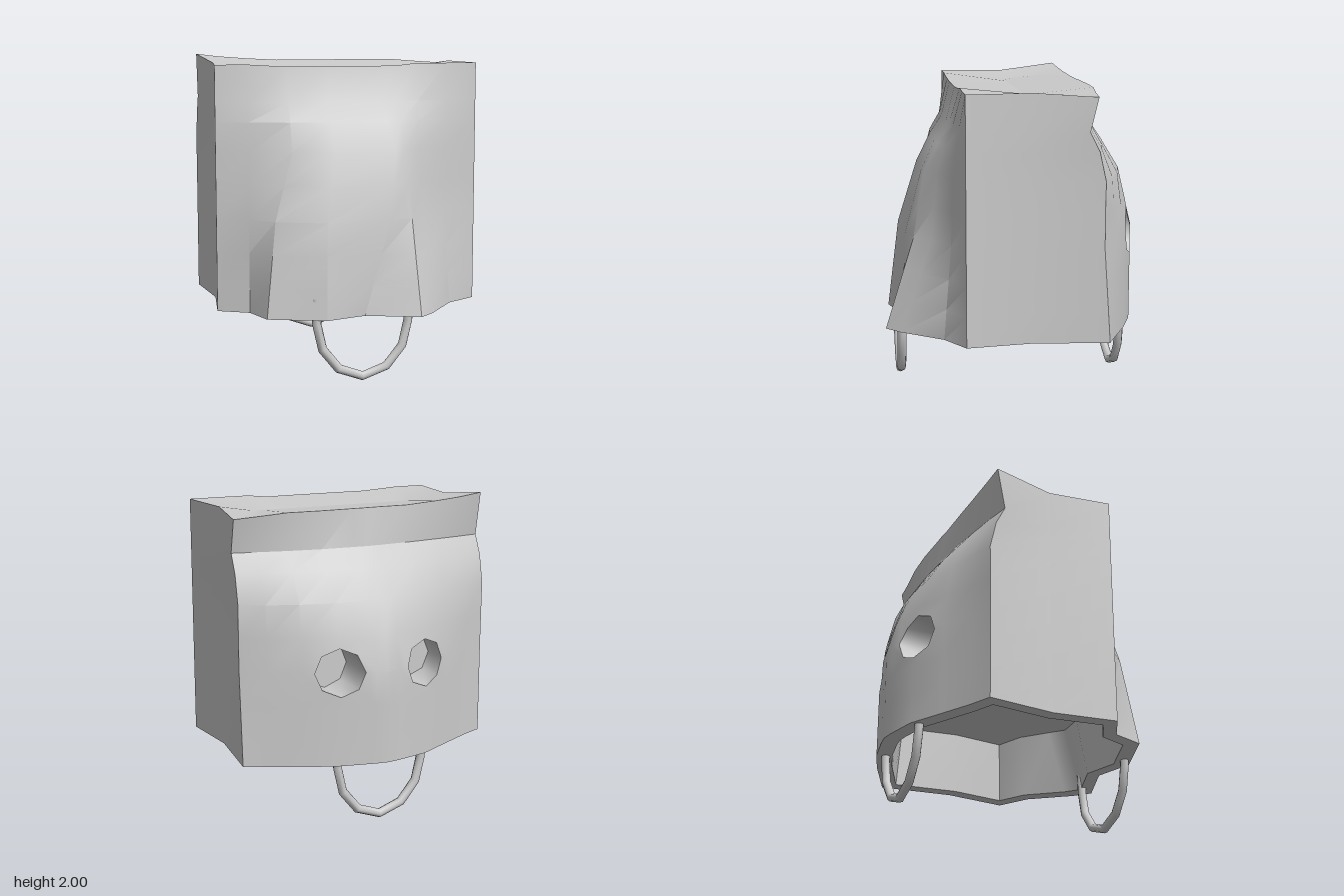
import * as THREE from 'three';
import { toCreasedNormals } from 'three/addons/utils/BufferGeometryUtils.js';

const V = (x, y, z) => new THREE.Vector3(x, y, z);

// Cross-section keys of the front panel: height, x positions, z depths
const FRONT = [
  { y: 0.41, x: [-.85, -.66, -.59, -.24, .02, .35, .45, .65, .85], z: [.36, .46, .665, .79, .71, .83, .74, .48, .36] },
  { y: 1.0, x: [-.85, -.66, -.52, -.22, .19, .34, .45, .62, .85], z: [.36, .45, .59, .715, .69, .645, .54, .43, .36] },
  { y: 1.42, x: [-.85, -.64, -.4, -.15, .25, .31, .42, .62, .85], z: [.36, .42, .53, .59, .585, .57, .5, .42, .36] },
  { y: 1.6, x: [-.85, -.65, -.4, -.15, .22, .31, .44, .65, .85], z: [.36, .41, .48, .5, .5, .485, .45, .4, .36] },
  { y: 1.72, x: [-.85, -.65, -.4, -.15, .2, .31, .45, .65, .85], z: [.36, .39, .41, .42, .42, .41, .4, .38, .36] },
  { y: 1.955, x: [-.85, -.65, -.4, -.15, .2, .31, .45, .65, .85], z: [.36, .36, .36, .365, .365, .355, .355, .36, .36] },
];
// Back panel: shared columns, depth per height
const BACK_X = [.85, .7, .51, .295, .08, 0, -.08, -.295, -.51, -.7, -.85];
const BACK = [
  { y: 0.41, z: [.53, .6, .69, .77, .815, .825, .815, .765, .65, .55, .485] },
  { y: 1.05, z: [.485, .58, .68, .77, .82, .835, .82, .76, .65, .54, .485] },
  { y: 1.42, z: [.49, .56, .63, .68, .7, .7, .7, .68, .6, .54, .49] },
  { y: 1.6, z: [.45, .49, .53, .57, .585, .59, .585, .57, .52, .48, .45] },
  { y: 1.72, z: [.39, .42, .46, .49, .5, .505, .5, .48, .45, .42, .39] },
  { y: 1.955, z: [.44, .45, .47, .48, .475, .475, .47, .47, .46, .45, .44] },
];
const HEIGHTS = [0.41, 0.6, 0.79, 1.0, 1.21, 1.42, 1.6, 1.72, 1.955];

// Linear blend between keyed cross-sections
function sample(keys, field, y) {
  let k = 0;
  while (k < keys.length - 2 && y > keys[k + 1].y) k++;
  const a = keys[k], b = keys[k + 1], t = (y - a.y) / (b.y - a.y);
  return a[field].map((v, i) => THREE.MathUtils.lerp(v, b[field][i], t));
}

// One loop round the bag: front, left fold, back, right fold
function ring(y) {
  const fx = sample(FRONT, 'x', y), fz = sample(FRONT, 'z', y), bz = sample(BACK, 'z', y);
  return [
    ...fx.map((x, i) => V(x, y, fz[i])), V(0.8, y, -0.05),
    ...BACK_X.map((x, i) => V(x, y, -bz[i])), V(-0.8, y, -0.05),
  ];
}

// Collects triangles and turns them into a creased geometry
function surface() {
  const pos = [];
  const tri = (a, b, c) => {
    const area = b.clone().sub(a).cross(c.clone().sub(a)).length();
    if (area > 1e-7) for (const p of [a, b, c]) pos.push(p.x, p.y, p.z);
  };
  const quad = (a, b, c, d) => { tri(a, b, c); tri(a, c, d); };
  const strip = (low, high, skip = () => false) => low.forEach((p, i) => {
    const n = (i + 1) % low.length;
    if (!skip(i)) quad(p, low[n], high[n], high[i]);
  });
  const mesh = (name, material, crease) => {
    const g = new THREE.BufferGeometry();
    g.setAttribute('position', new THREE.Float32BufferAttribute(pos, 3));
    const m = new THREE.Mesh(toCreasedNormals(g, crease), material);
    m.name = name;
    return m;
  };
  return { strip, mesh };
}

export function createModel() {
  const group = new THREE.Group();
  group.name = 'paperBagMask';
  const paper = new THREE.MeshStandardMaterial({ color: 0xcccccc });
  const cord = new THREE.MeshStandardMaterial({ color: 0xcccccc, side: THREE.DoubleSide });

  const rows = HEIGHTS.map(ring);
  const top = rows[rows.length - 1];
  // Uneven top edge: sagging front, one rear corner low and the other lifted
  for (let i = 2; i <= 5; i++) top[i].y = 1.94;
  [1.93, 1.94].forEach((y, i) => { top[10 + i].y = y; });
  [1.967, 1.982, 2].forEach((y, i) => { top[18 + i].y = y; });

  // Outer paper with eye openings, closed by a top that dips to a centre crease
  const bag = surface();
  const eyeCols = [12, 16];
  for (let j = 0; j < rows.length - 1; j++) {
    bag.strip(rows[j], rows[j + 1], i => (j === 2 || j === 3) && eyeCols.some(c => i === c || i === c + 1));
  }
  bag.strip(top, top.map(p => V(THREE.MathUtils.clamp(p.x, -0.57, 0.57), 1.915, -0.045)));

  // Eye openings: eight-sided sockets set into the back panel
  const border = [[0, 0], [1, 0], [2, 0], [2, 1], [2, 2], [1, 2], [0, 2], [0, 1]];
  const sockets = surface();
  for (const c of eyeCols) {
    const mid = rows[3][c + 1];
    const outer = border.map(([i, j]) => rows[2 + j][c + i]);
    const hole = outer.map(p => mid.clone().lerp(p, 0.15 / Math.hypot(p.x - mid.x, p.y - mid.y)));
    const floor = hole.map(p => V(p.x, p.y, mid.z + 0.25));
    bag.strip(outer, hole);
    sockets.strip(hole, floor);
    sockets.strip(floor, floor.map(() => V(mid.x, mid.y, mid.z + 0.25)));
  }
  group.add(bag.mesh('bag', paper, 0.45), sockets.mesh('eyeSockets', paper, 1));

  // Thick lower rim, inner wall and inner ceiling
  const inset = (r, y, sx, sz) => r.map(p => V(p.x * sx, y, p.z * sz));
  const rim = inset(rows[0], 0.41, 0.89, 0.875), ceiling = inset(rows[2], 0.83, 0.885, 0.86);
  const inside = surface();
  inside.strip(rim, rows[0]);
  inside.strip(ceiling, rim);
  inside.strip(ceiling.map(() => V(0, 0.83, 0)), ceiling);
  group.add(inside.mesh('innerLining', paper, 0.8));

  // Looped cord handles, their ends buried in the rim
  const half = [[-.3, .54], [-.295, .41], [-.265, .235], [-.15, .085], [0, .032]];
  const loop = [...half, ...half.slice(0, -1).reverse().map(([x, y]) => [-x, y])];
  for (const [name, z] of [['frontHandle', 0.725], ['backHandle', -0.708]]) {
    const path = new THREE.CatmullRomCurve3(loop.map(([x, y]) => V(x, y, z)));
    const handle = new THREE.Mesh(new THREE.TubeGeometry(path, 8, 0.029, 8), cord);
    handle.name = name;
    group.add(handle);
  }
  return group;
}
